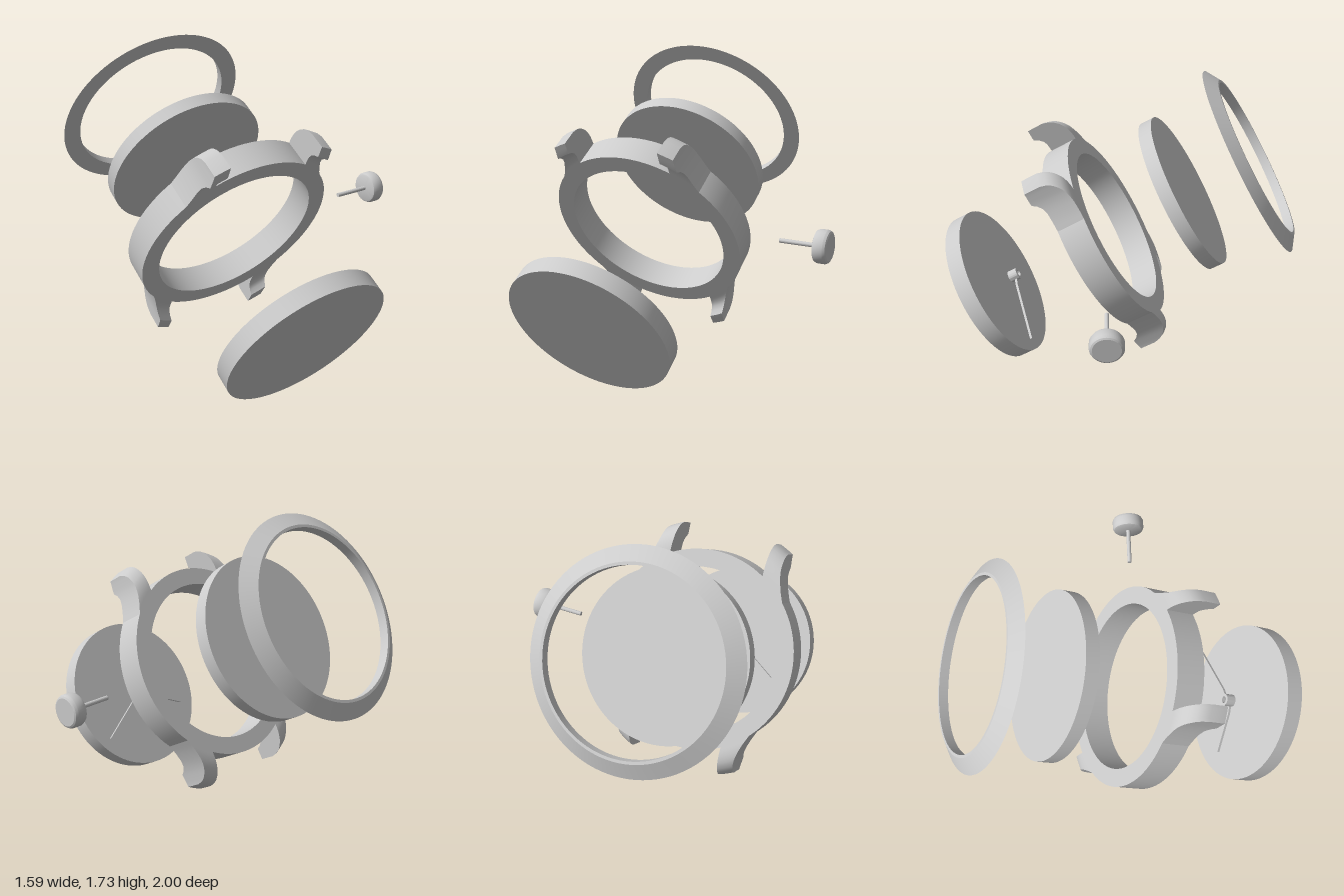
import * as THREE from 'three';
import { toCreasedNormals } from 'three/addons/utils/BufferGeometryUtils.js';

const material = new THREE.MeshStandardMaterial({ color: 0xcccccc });

function part(name, geometry, crease = 0.5) {
  const mesh = new THREE.Mesh(toCreasedNormals(geometry, crease), material);
  mesh.name = name;
  return mesh;
}

// Turned part; profile points are [radius, height], counter-clockwise
function turned(name, points, segments = 96) {
  return part(name, new THREE.LatheGeometry(points.map(([r, h]) => new THREE.Vector2(r, h)), segments));
}

const disc = (name, r, h0, h1) => turned(name, [[0, h0], [r, h0], [r, h1], [0, h1]]);
const ring = (name, r0, r1, h0, h1) =>
  turned(name, [[r0, h0], [r1, h0], [r1, h1], [r0, h1], [r0, h0]]);

// Lug stations: [radius from the case axis, outer x, underside, top]
const LUG = [
  [0.551, 0.413, 0.256, 0.418], [0.562, 0.4, 0.256, 0.418],
  [0.575, 0.388, 0.256, 0.418], [0.6, 0.373, 0.255, 0.416],
  [0.62, 0.364, 0.247, 0.411], [0.638, 0.359, 0.229, 0.405],
  [0.652, 0.356, 0.203, 0.397], [0.67, 0.354, 0.203, 0.384],
  [0.69, 0.352, 0.205, 0.363], [0.704, 0.351, 0.206, 0.338],
  [0.714, 0.351, 0.207, 0.3],
];

// A box bent along the stations; side is +1 or -1 in x
function lug(name, side) {
  const inner = 0.272, n = LUG.length - 1;
  const g = new THREE.BoxGeometry(1, 1, 1, 5, 1, n);
  const p = g.attributes.position;
  for (let i = 0; i < p.count; i++) {
    const [r, outer, low, high] = LUG[Math.round((p.getZ(i) + 0.5) * n)];
    const t = p.getX(i) * side + 0.5;
    const x = inner + (outer - inner) * t;
    p.setXYZ(i, side * x, p.getY(i) < 0 ? low : high, Math.sqrt(r * r - x * x));
  }
  return part(name, g, 0.6);
}

// Slim tapered hand, lying flat and pointing away from the hub
function hand(name, length, height, angle) {
  const s = new THREE.Shape();
  s.moveTo(0.028, -0.007);
  s.lineTo(0.075, -0.015);
  s.lineTo(length, 0);
  s.lineTo(0.075, 0.015);
  s.lineTo(0.028, 0.007);
  s.closePath();
  const g = new THREE.ExtrudeGeometry(s, { depth: 0.014, bevelEnabled: false });
  g.rotateX(-Math.PI / 2);
  const mesh = part(name, g);
  mesh.position.y = height;
  mesh.rotation.y = angle;
  return mesh;
}

export function createModel() {
  const model = new THREE.Group();
  model.name = 'explodedWatch';

  // Everything shares one tilted axis: local y runs from case back to bezel
  const tilt = new THREE.Group();
  tilt.name = 'tiltedAssembly';
  tilt.rotation.x = -Math.PI / 3;
  model.add(tilt);
  const stack = new THREE.Group();
  stack.name = 'watchStack';
  stack.position.set(-0.246, 0, 0.7325);
  tilt.add(stack);

  // Dial
  stack.add(disc('dial', 0.455, -0.47, -0.372));

  // Hands and hollow hub
  const hands = new THREE.Group();
  hands.name = 'hands';
  hands.add(
    ring('handHub', 0.019, 0.035, -0.328, -0.27),
    hand('hourHand', 0.316, -0.326, -Math.PI * 5 / 6),
    hand('minuteHand', 0.427, -0.302, -Math.PI / 6),
  );
  // Hands lean towards the lower half of the dial
  hands.children[1].rotation.y = Math.PI * 5 / 6;
  hands.children[2].rotation.y = Math.PI / 6;
  stack.add(hands);

  // Case with four curved lugs
  const watchCase = new THREE.Group();
  watchCase.name = 'case';
  watchCase.add(ring('caseRing', 0.456, 0.5525, 0.256, 0.418));
  for (const end of [0, 1]) {
    for (const side of [-1, 1]) {
      const l = lug(end ? 'lowerLug' : 'upperLug', side);
      l.rotation.y = end * Math.PI;
      watchCase.add(l);
    }
  }
  stack.add(watchCase);

  // Crystal
  stack.add(disc('crystal', 0.455, 0.808, 0.885));

  // Bezel with a sloping outer face
  stack.add(turned('bezel', [
    [0.456, 1.253], [0.5525, 1.253], [0.471, 1.305], [0.456, 1.305], [0.456, 1.253],
  ]));

  // Crown and stem, pulled out sideways
  const crown = new THREE.Group();
  crown.name = 'crown';
  crown.add(
    turned('crownKnob', [
      [0, 0.718], [0.074, 0.718], [0.083, 0.722], [0.09, 0.736],
      [0.09, 0.778], [0.083, 0.791], [0.074, 0.796], [0, 0.796],
    ], 48),
    turned('crownStem', [[0, 0.515], [0.012, 0.515], [0.012, 0.72], [0, 0.72]], 24),
  );
  crown.rotation.z = -Math.PI / 2;
  crown.position.set(0, 0.337, 0.7325);
  tilt.add(crown);

  return model;
}
